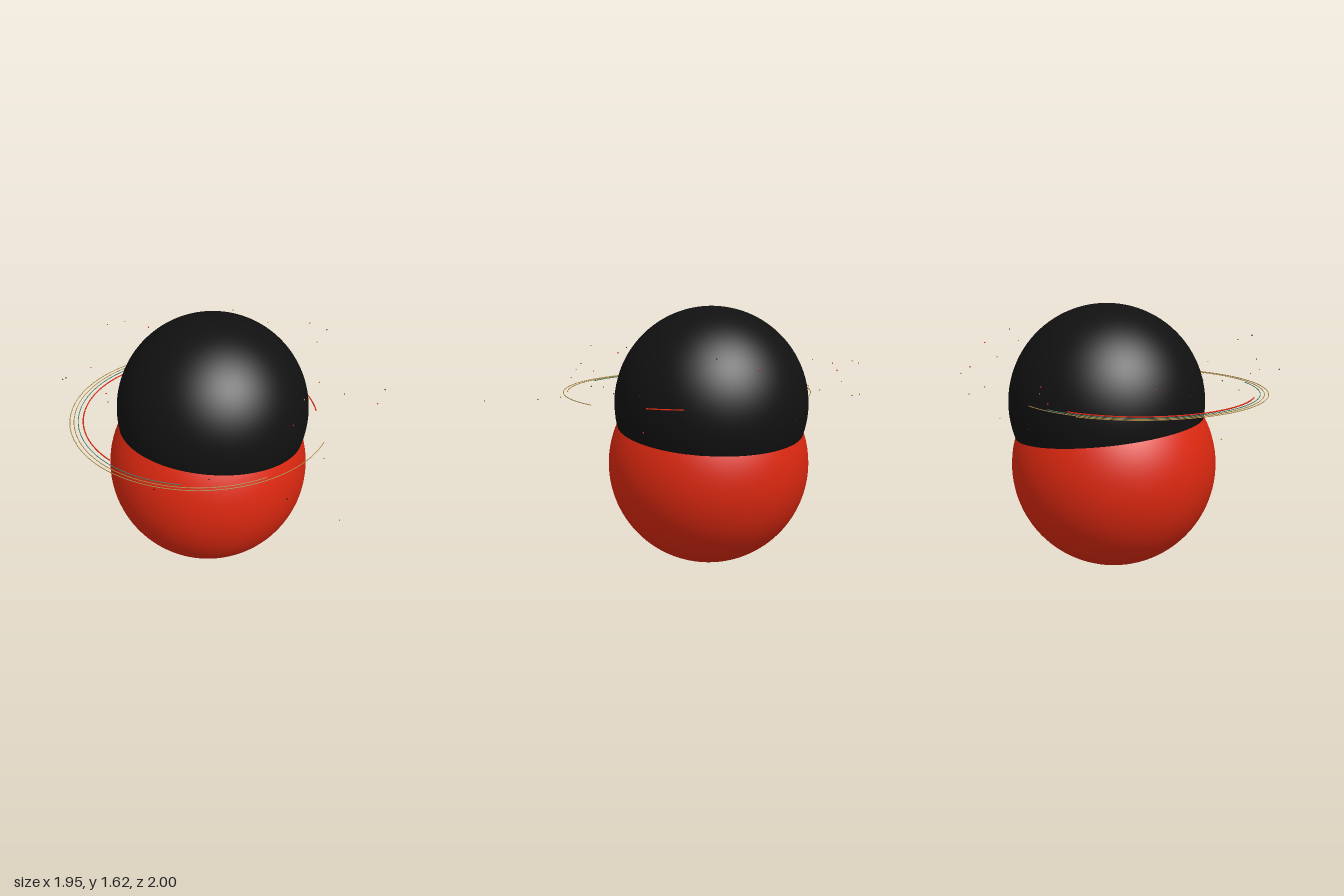
import * as THREE from 'three';

const mat = (name, color) => {
  const m = new THREE.MeshStandardMaterial({ color });
  m.name = name;
  return m;
};

export function createModel() {
  const model = new THREE.Group();
  const red = mat('red', 0xdc2810);
  const black = mat('black', 0x111111);
  const gold = mat('gold', 0xb08d4a);
  const teal = mat('teal', 0x3f7f72);

  const add = (name, geometry, material, x, y, z) => {
    const mesh = new THREE.Mesh(geometry, material);
    mesh.name = name;
    mesh.position.set(x, y, z);
    model.add(mesh);
    return mesh;
  };

  // two overlapping spheres
  add('lowerSphere', new THREE.SphereGeometry(0.628, 96, 64), red, -0.0975, 0.633, -0.0975);
  add('upperSphere', new THREE.SphereGeometry(0.6, 96, 64), black, -0.075, 1.02, -0.135);

  // thin open rings: angles run from +x towards +z
  const ring = (name, radius, tube, start, end, material) => {
    const geometry = new THREE.TorusGeometry(radius, tube, 6, 160, end - start);
    geometry.rotateZ(start).rotateX(Math.PI / 2);
    add(name, geometry, material, -0.1, 1.08, 0.06);
  };
  ring('outerRing', 0.79, 0.0025, 0.14, 3.87, gold);
  ring('middleRing', 0.765, 0.0025, 0.79, 4.5, gold);
  ring('innerRing', 0.74, 0.0025, 1.44, 4.7, teal);
  ring('redRing', 0.71, 0.004, 2.1, 5.97, red);

  // floating specks around the spheres
  const specks = [
    [-0.97, 1.22, 0.1], [-0.96, 1.22, -0.67], [-0.84, 1.25, -0.69], [-0.76, 1.04, -0.74],
    [-0.84, 1.24, -0.05], [-0.81, 0.93, 0.34], [-0.75, 1.5, 0.53], [-0.66, 1.25, -0.65],
    [-0.62, 1.08, -0.87], [-0.6, 1.23, 0.3], [-0.51, 1.44, 0.54], [-0.32, 1.2, -0.91],
    [-0.29, 1.28, 0.75], [-0.16, 1.29, -0.97], [-0.15, 1.34, -0.81], [-0.09, 1.17, 0.99],
    [-0.04, 1.04, 0.74], [0.08, 1.21, -1], [0.13, 1.07, 0.69], [0.12, 1.11, 0.88],
    [0.04, 1.15, 0.91], [0.23, 1.05, -0.94], [0.4, 1.34, -0.81], [0.49, 1.33, -0.58],
    [0.54, 1.4, -0.63], [0.52, 1.25, 0.3], [0.57, 1.41, 0.27], [0.58, 1.04, 0.72],
    [0.61, 1.39, 0.02], [0.72, 1.11, 0.38], [0.73, 1.18, -0.24], [0.92, 1.03, -0.43],
    [0.89, 1.06, 0.86], [0.97, 1.23, -0.27],
  ];
  const speckGeometry = new THREE.SphereGeometry(0.004, 8, 6);
  const colors = [black, red, gold];
  specks.forEach((p, i) => add('speck', speckGeometry, colors[i % 3], ...p));

  return model;
}
